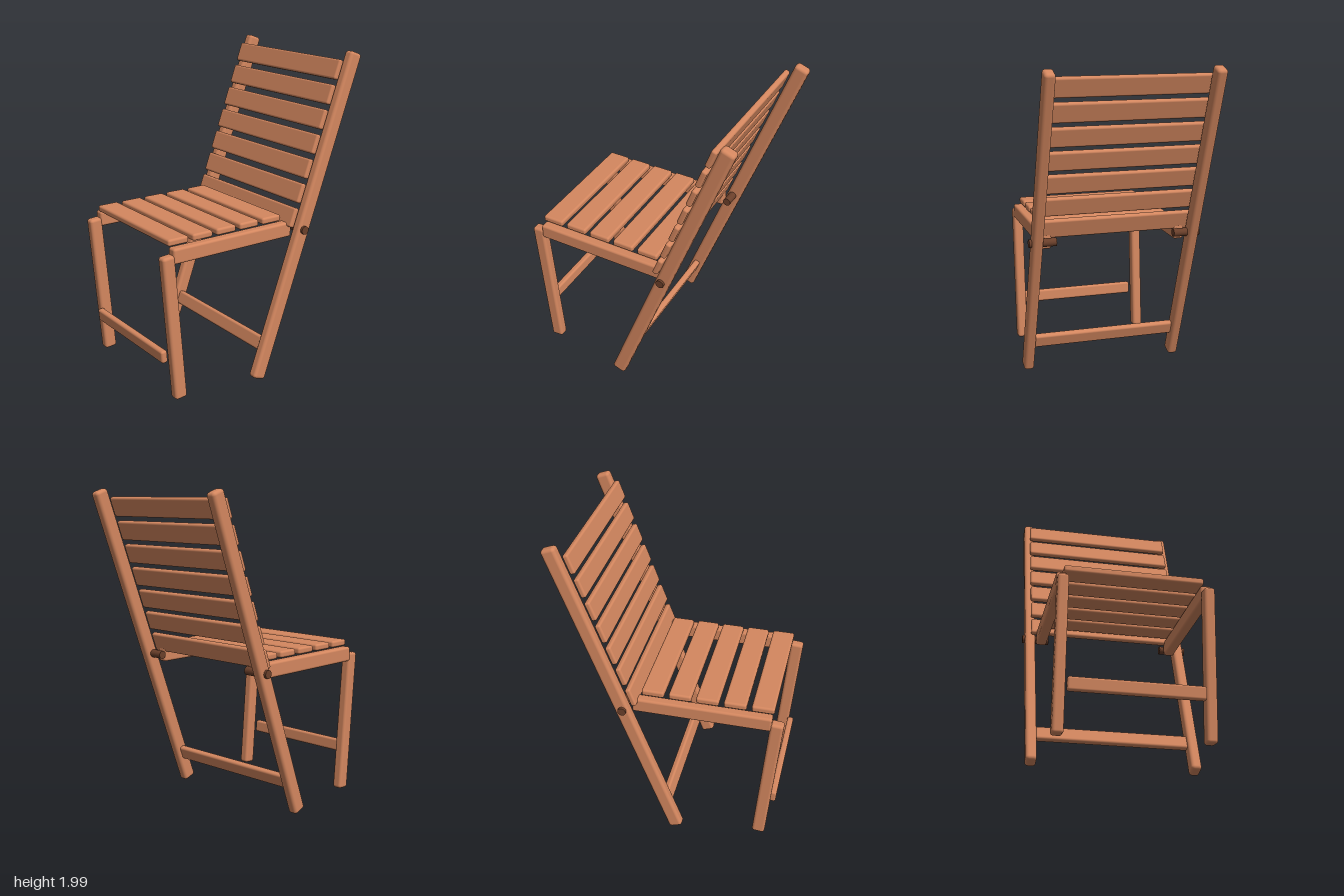
import * as THREE from 'three';
import { RoundedBoxGeometry } from 'three/addons/geometries/RoundedBoxGeometry.js';

const RECLINE = -THREE.MathUtils.degToRad(20);
const LEG_TILT = THREE.MathUtils.degToRad(4.7);

export function createModel() {
  const wood = new THREE.MeshStandardMaterial({ color: 0xd4875f });
  wood.name = 'warm wood';
  const darkMetal = new THREE.MeshStandardMaterial({ color: 0x6b402b });
  darkMetal.name = 'dark pin';

  const chair = new THREE.Group();
  chair.name = 'slattedChair';

  // Wooden bar with rounded edges, tilted about x
  function bar(name, size, position, radius, tilt = 0) {
    const mesh = new THREE.Mesh(new RoundedBoxGeometry(...size, 3, radius), wood);
    mesh.name = name;
    mesh.position.set(...position);
    mesh.rotation.x = tilt;
    chair.add(mesh);
  }

  // Mirrored frame parts
  for (const [side, s] of [['left', 1], ['right', -1]]) {
    bar(`${side}BackPost`, [0.065, 2.1, 0.09], [s * 0.497, 1.0, -0.303], 0.02, RECLINE);
    bar(`${side}SeatRail`, [0.065, 0.095, 0.862], [s * 0.427, 0.928, 0.199], 0.015);
    bar(`${side}FrontLeg`, [0.065, 0.917, 0.082], [s * 0.427, 0.477, 0.625], 0.018, LEG_TILT);

    // Pivot pin through the back post
    const pin = new THREE.Mesh(new THREE.CylinderGeometry(0.026, 0.026, 0.17, 20), darkMetal);
    pin.name = `${side}PivotPin`;
    pin.rotation.z = Math.PI / 2;
    pin.position.set(s * 0.46, 0.934, -0.272);
    chair.add(pin);
  }

  // Seat slats, back to front
  for (let i = 0; i < 5; i++) {
    bar(`seatSlat${i + 1}`, [0.83, 0.042, 0.14], [0, 0.999, -0.112 + i * 0.17], 0.014);
  }

  // Backrest slats, bottom to top, following the reclined posts
  for (let i = 0; i < 7; i++) {
    const y = 1.008 + i * 0.1467;
    const z = -0.228 - i * 0.0537;
    bar(`backSlat${i + 1}`, [0.99, 0.124, 0.036], [0, y, z], 0.013, RECLINE);
  }

  // Stretchers between the legs
  bar('frontStretcher', [0.78, 0.08, 0.042], [0, 0.285, 0.661], 0.014, LEG_TILT);
  bar('backStretcher', [0.94, 0.09, 0.042], [0, 0.212, -0.014], 0.014, RECLINE);

  return chair;
}
